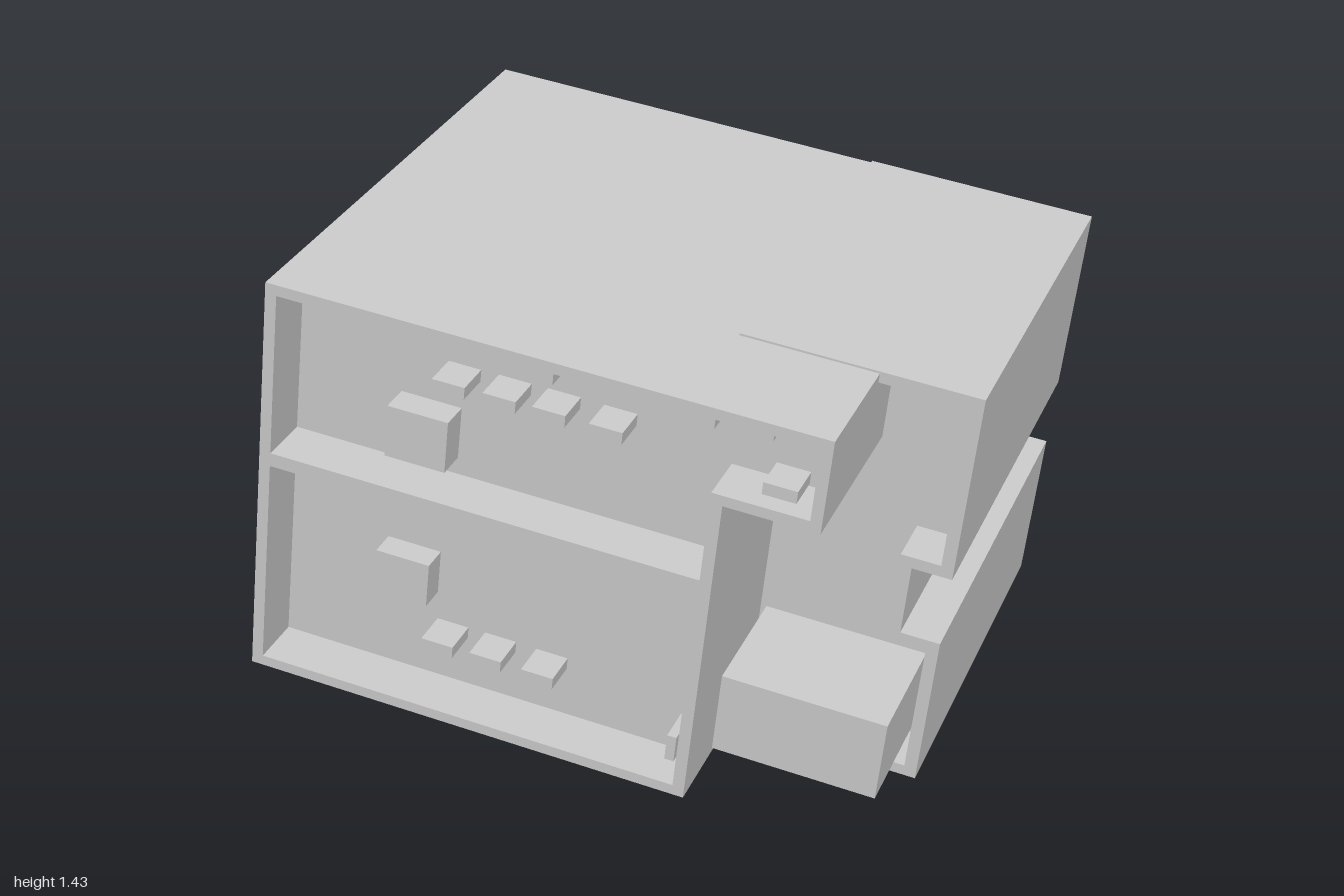
import * as THREE from 'three';

const material = new THREE.MeshStandardMaterial({ color: 0xcccccc, flatShading: true });

// Prism from an outline (and optional holes) between two depths
function prism(name, outline, z0, z1, holes = []) {
  const points = (list) => list.map(([x, y]) => new THREE.Vector2(x, y));
  const shape = new THREE.Shape(points(outline));
  shape.holes = holes.map((h) => new THREE.Path(points(h)));
  const geometry = new THREE.ExtrudeGeometry(shape, { depth: z1 - z0, bevelEnabled: false });
  geometry.translate(0, 0, z0);
  const mesh = new THREE.Mesh(geometry, material);
  mesh.name = name;
  return mesh;
}

function block(name, x, y, w, h, z0, z1) {
  const mesh = new THREE.Mesh(new THREE.BoxGeometry(w, h, z1 - z0), material);
  mesh.position.set(x, y, (z0 + z1) / 2);
  mesh.name = name;
  return mesh;
}

export function createModel() {
  const model = new THREE.Group();
  model.name = 'tiltedHousing';

  // Everything is laid out square, then tilted about the lower corner
  const tilted = new THREE.Group();
  tilted.name = 'housing';
  tilted.position.set(-1, 0.21, 0);
  tilted.rotation.z = -0.1124;
  model.add(tilted);

  const back = -0.8;
  const mainFloor = 0.64, mainFront = 0.8;
  const sideFloor = 0.25, sideFront = 0.41;

  // Main housing with two recessed compartments
  const mainOutline = [[0, 0], [1.318, 0], [1.318, 0.954], [1.585, 0.954], [1.585, 1.232], [0, 1.232]];
  const lowerRecess = [[0.033, 0.031], [1.284, 0.031], [1.284, 0.67], [0.033, 0.67]];
  const upperRecess = [[0.033, 0.711], [1.284, 0.711], [1.284, 0.985], [1.553, 0.985], [1.553, 1.2], [0.033, 1.2]];
  tilted.add(
    prism('mainBody', mainOutline, back, mainFloor),
    prism('mainRim', mainOutline, mainFloor, mainFront, [lowerRecess, upperRecess]),
  );

  // Side housing: notched outer wall, wrapping over the main housing with a thin lip
  const outerWall = [[1.318, 0], [1.872, 0], [1.872, 0.463], [1.758, 0.463], [1.758, 0.675],
    [1.872, 0.675], [1.872, 1.238], [1.194, 1.238], [1.194, 1.232], [1.585, 1.232]];
  const innerWall = [[1.585, 1.205], [1.836, 1.205], [1.836, 0.709], [1.722, 0.709],
    [1.722, 0.431], [1.836, 0.431], [1.836, 0.032], [1.318, 0.032]];
  tilted.add(
    prism('sideBody', [...outerWall, [1.585, 0.954], [1.318, 0.954]], back, sideFloor),
    prism('sideRim', [...outerWall, ...innerWall], sideFloor, sideFront),
    block('sideDrawer', 1.573, 0.185, 0.476, 0.247, sideFloor, 0.63),
  );

  // Large knobs on the compartment floors
  tilted.add(
    block('upperKnob', 0.428, 0.841, 0.178, 0.157, mainFloor, 0.73),
    block('lowerKnob', 0.408, 0.376, 0.16, 0.135, mainFloor, 0.72),
  );

  // Rows of small buttons
  const buttons = [[0.517, 1.035], [0.663, 1.036], [0.804, 1.037], [0.965, 1.035], [0.76, 1.153],
    [1.208, 1.158], [1.367, 1.171], [1.451, 1.009], [0.541, 0.202], [0.687, 0.203], [0.843, 0.201]];
  for (const [x, y] of buttons) tilted.add(block('button', x, y, 0.095, 0.036, mainFloor, 0.75));
  tilted.add(block('uprightButton', 1.25, 0.111, 0.027, 0.08, mainFloor, 0.75));

  return model;
}
